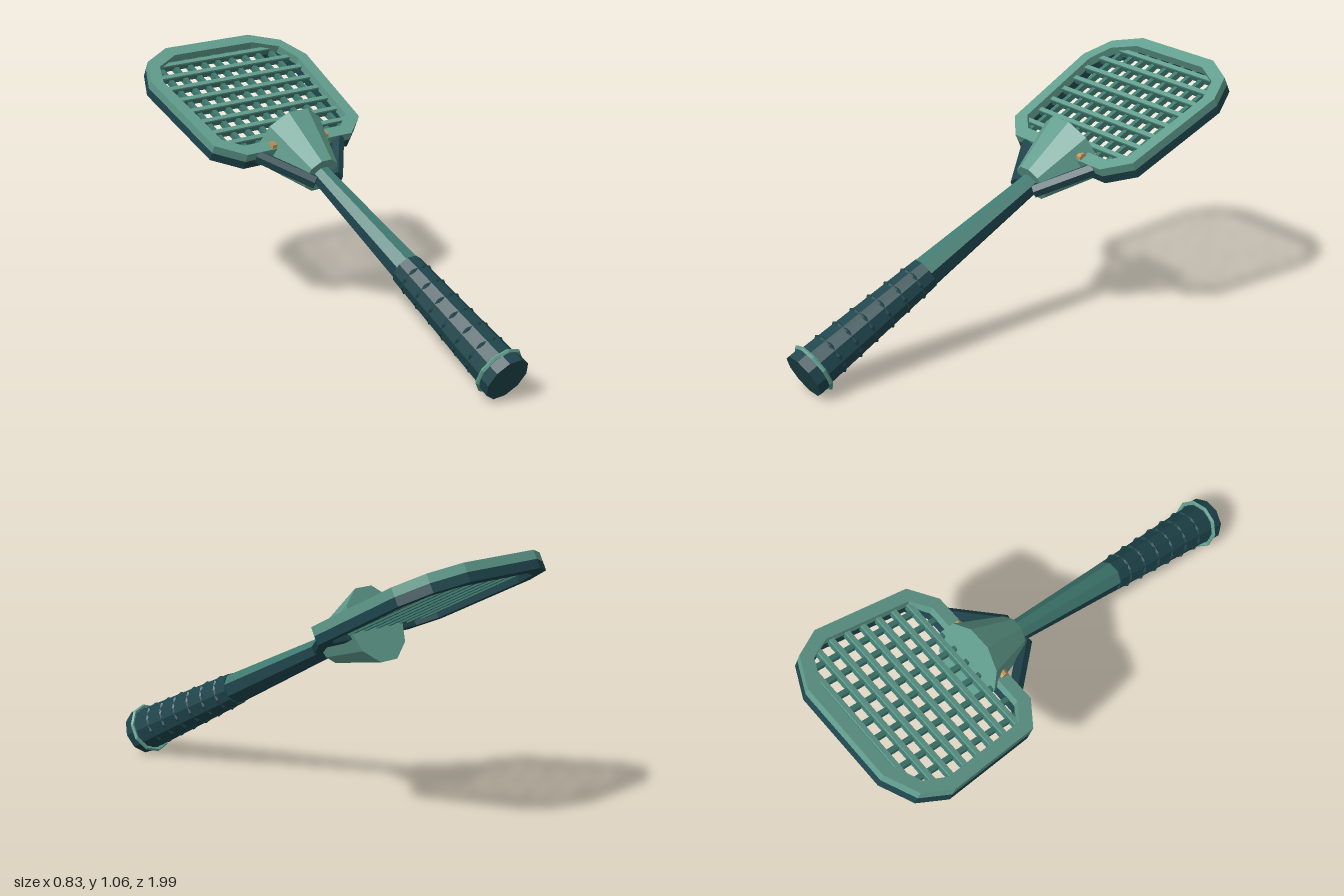
import * as THREE from 'three';

const mat = (name, color) => {
  const m = new THREE.MeshStandardMaterial({ color, flatShading: true });
  m.name = name;
  return m;
};

export function createModel() {
  const light = mat('light teal', 0x619d8d);
  const mid = mat('mid teal', 0x3f7a70);
  const dark = mat('dark teal', 0x1e454c);
  const gold = mat('brass', 0xc0965c);

  const model = new THREE.Group();
  model.name = 'racket';
  // Racket space: y runs along the handle, z is the normal of the face
  const racket = new THREE.Group();
  racket.name = 'tiltedRacket';
  racket.position.set(0, 0.09, 0.955);
  racket.rotation.x = -THREE.MathUtils.degToRad(64);
  model.add(racket);

  const add = (name, geo, material, parent = racket) => {
    const m = new THREE.Mesh(geo, material);
    m.name = name;
    parent.add(m);
    return m;
  };
  // Tapered ten-sided prism from y0 to y1 with flats facing front and back
  const prism = (r0, r1, y0, y1) =>
    new THREE.CylinderGeometry(r1, r0, y1 - y0, 10, 1, false, Math.PI / 10)
      .translate(0, (y0 + y1) / 2, 0);
  // Ten-sided ring, its corners on the middle of the handle flats
  const ring = (r, tube, y) =>
    new THREE.TorusGeometry(r, tube, 5, 10).rotateZ(Math.PI / 10)
      .rotateX(Math.PI / 2).translate(0, y, 0);

  // Handle
  add('pommel', prism(0.1, 0.1, 0, 0.05), dark);
  add('pommelRing', ring(0.102, 0.009, 0.053), light);
  add('grip', prism(0.093, 0.07, 0.05, 0.645), dark);
  for (let i = 0; i < 6; i++) {
    const y = 0.14 + i * 0.088;
    const r = THREE.MathUtils.mapLinear(y, 0.05, 0.645, 0.093, 0.07);
    add('gripRidge', ring(r * 0.955, 0.008, y), dark);
  }

  // Octagonal shaft: three upper facets, five darker lower ones
  const shaftFacets = (count, start) =>
    new THREE.CylinderGeometry(0.043, 0.067, 0.66, count, 1, true, start, count * Math.PI / 4)
      .translate(0, 0.97, 0);
  add('shaftTop', shaftFacets(3, -3 * Math.PI / 8), mid);
  add('shaftUnderside', shaftFacets(5, 3 * Math.PI / 8), dark);
  add('throatCone', prism(0.083, 0.162, 1.247, 1.494), light);

  // Head frame: a light ring on top of a dark one, outlines counter-clockwise
  const loop = (half) => [...half.map(([x, y]) => [-x, y]), ...[...half].reverse()]
    .map(([x, y]) => new THREE.Vector2(x - 0.003, y));
  const outline = new THREE.Shape(
    loop([[0.22, 2.155], [0.355, 2.085], [0.415, 1.96], [0.383, 1.505], [0.275, 1.415]]));
  outline.holes.push(new THREE.Path(
    loop([[0.205, 2.1], [0.318, 2.043], [0.36, 1.945], [0.33, 1.535], [0.255, 1.473]])));
  const frameLayer = (z0, z1) =>
    new THREE.ExtrudeGeometry(outline, { depth: z1 - z0, bevelEnabled: false }).translate(0, 0, z0);
  add('headFrameTop', frameLayer(0, 0.037), light);
  add('headFrameUnderside', frameLayer(-0.037, 0), dark);

  // Strings, each ending inside the frame
  const strings = new THREE.Group();
  strings.name = 'strings';
  racket.add(strings);
  const lerpTable = (t, v) => {
    let i = 1;
    while (i < t.length - 1 && v > t[i][0]) i++;
    return THREE.MathUtils.mapLinear(v, t[i - 1][0], t[i][0], t[i - 1][1], t[i][1]);
  };
  const halfWidth = [[1.45, 0.265], [1.52, 0.35], [1.95, 0.38], [2.06, 0.33], [2.12, 0.21]];
  const topEdge = [[0, 2.12], [0.21, 2.12], [0.33, 2.06]];
  const lowEdge = [[0, 1.45], [0.265, 1.45], [0.348, 1.52]];
  for (let i = 0; i < 8; i++) {
    const y = 1.53 + i * 0.077;
    const w = 2 * lerpTable(halfWidth, y);
    add('crossString', new THREE.BoxGeometry(w, 0.021, 0.008).translate(0, y, 0.014), light, strings);
    add('crossStringBase', new THREE.BoxGeometry(w, 0.021, 0.022).translate(0, y, -0.001), mid, strings);
  }
  for (let i = -4; i <= 4; i++) {
    const x = i * 0.073;
    const y0 = lerpTable(lowEdge, Math.abs(x)), y1 = lerpTable(topEdge, Math.abs(x));
    add('mainString', new THREE.BoxGeometry(0.021, y1 - y0, 0.024)
      .translate(x, (y0 + y1) / 2, -0.008), mid, strings);
  }

  // Throat braces and brass pins on both sides
  for (const side of [-1, 1]) {
    const a = new THREE.Vector3(side * 0.055, 1.215, 0);
    const b = new THREE.Vector3(side * 0.212, 1.425, 0.008);
    const dir = b.clone().sub(a);
    const brace = add(side > 0 ? 'leftBrace' : 'rightBrace',
      new THREE.CylinderGeometry(0.029, 0.029, dir.length(), 6), dark);
    brace.position.copy(a).add(b).multiplyScalar(0.5);
    brace.quaternion.setFromUnitVectors(new THREE.Vector3(0, 1, 0), dir.normalize());
    add('brassPin', new THREE.CylinderGeometry(0.018, 0.018, 0.05, 8).rotateZ(Math.PI / 2)
      .translate(side * 0.122, 1.437, 0.038), gold);
  }
  return model;
}
